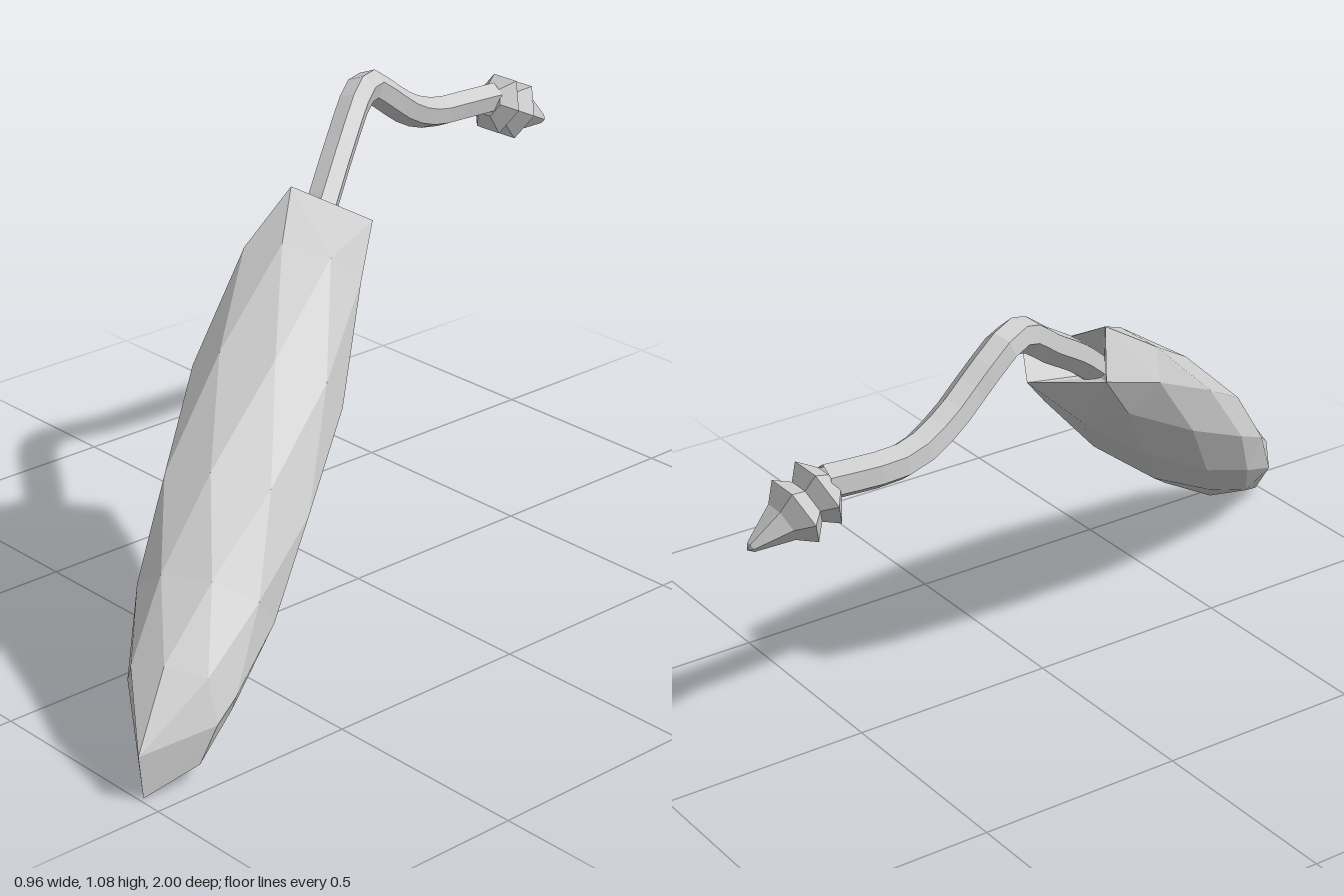
import * as THREE from 'three';

const V = (x, y, z) => new THREE.Vector3(x, y, z);

const material = () => new THREE.MeshStandardMaterial({
  color: 0xcccccc, flatShading: true, side: THREE.DoubleSide });

// Axis of the folded canopy; its oval section is longest along "wide"
const top = V(-0.17, 0.88, -0.04);
const along = V(0.61, -0.83, 0.99).normalize();
const wide = V(along.z, 0, -along.x).normalize().applyAxisAngle(along, -0.33);
const thin = along.clone().cross(wide);
const onAxis = (s, u, v) => top.clone()
  .addScaledVector(along, s).addScaledVector(wide, u).addScaledVector(thin, v);

// Folded canopy: each ring is turned half a step, giving long diamond facets
function canopyGeometry() {
  const n = 8, step = Math.PI * 2 / n;
  const ring = ([s, r], turn) => Array.from({ length: n }, (_, k) => {
    const a = (k + turn / 2) * step;
    return onAxis(s, 1.2 * r * Math.cos(a), 0.88 * r * Math.sin(a));
  });

  // Four-cornered mouth and slanted four-cornered end
  const [P, Q, R, S] = [V(-0.24, 0.83, 0), V(-0.18, 0.93, 0.04), V(-0.045, 0.855, -0.085), V(-0.09, 0.8, -0.105)];
  const [C, B, A, D] = [V(0.475, 0.12, 0.82), V(0.44, 0.1, 1), V(0.44, 0, 0.99), V(0.465, 0.04, 0.86)];

  const profile = [ // distance along the axis, radius
    [0.2, 0.122], [0.5, 0.142], [0.8, 0.144], [1.04, 0.125], [1.24, 0.102]];
  const rings = [
    ring([0.16, 0.02], -5),
    [P, S, R, R, Q, Q, Q, P],
    ...profile.map((p, i) => ring(p, i - 3)),
    [C, B, B, A, A, D, D, C]];

  const pts = [];
  const tri = (a, b, c) => {
    if (a !== b && b !== c && a !== c) pts.push(a, b, c);
  };
  for (let i = 0; i < rings.length - 1; i++) {
    for (let k = 0; k < n; k++) {
      const m = (k + 1) % n, [p, q] = [rings[i], rings[i + 1]];
      tri(p[k], p[m], q[k]);
      tri(q[k], p[m], q[m]);
    }
  }
  tri(C, B, A);
  tri(C, A, D);
  const g = new THREE.BufferGeometry().setFromPoints(pts);
  g.computeVertexNormals();
  return g;
}

export function createModel() {
  const model = new THREE.Group();
  const add = (name, geometry) => {
    const mesh = new THREE.Mesh(geometry, material());
    mesh.name = name;
    model.add(mesh);
    return mesh;
  };

  add('foldedCanopy', canopyGeometry());

  // Six-sided shaft that bends over into the curved handle
  const path = new THREE.CatmullRomCurve3([
    V(-0.07, 0.75, 0.12), V(-0.15, 0.865, -0.02), V(-0.24, 0.96, -0.16),
    V(-0.31, 1.042, -0.28), V(-0.345, 1.045, -0.345), V(-0.365, 0.99, -0.43),
    V(-0.39, 0.935, -0.52), V(-0.415, 0.9, -0.62), V(-0.42, 0.895, -0.69),
    V(-0.41, 0.896, -0.82)], false, 'centripetal');
  add('shaftAndHandle', new THREE.TubeGeometry(path, 20, 0.039, 6, false));

  // Double-collared pointed finial
  const profile = [[0, 0], [0.04, 0], [0.078, 0.03], [0.05, 0.06],
    [0.078, 0.09], [0.045, 0.125], [0.012, 0.205], [0, 0.215]]
    .map(([r, t]) => new THREE.Vector2(r, t));
  const finial = add('finial', new THREE.LatheGeometry(profile, 6, Math.PI / 2));
  finial.position.set(-0.408, 0.89, -0.805);
  finial.quaternion.setFromUnitVectors(V(0, 1, 0), V(0, -0.42, -0.9).normalize());

  return model;
}
